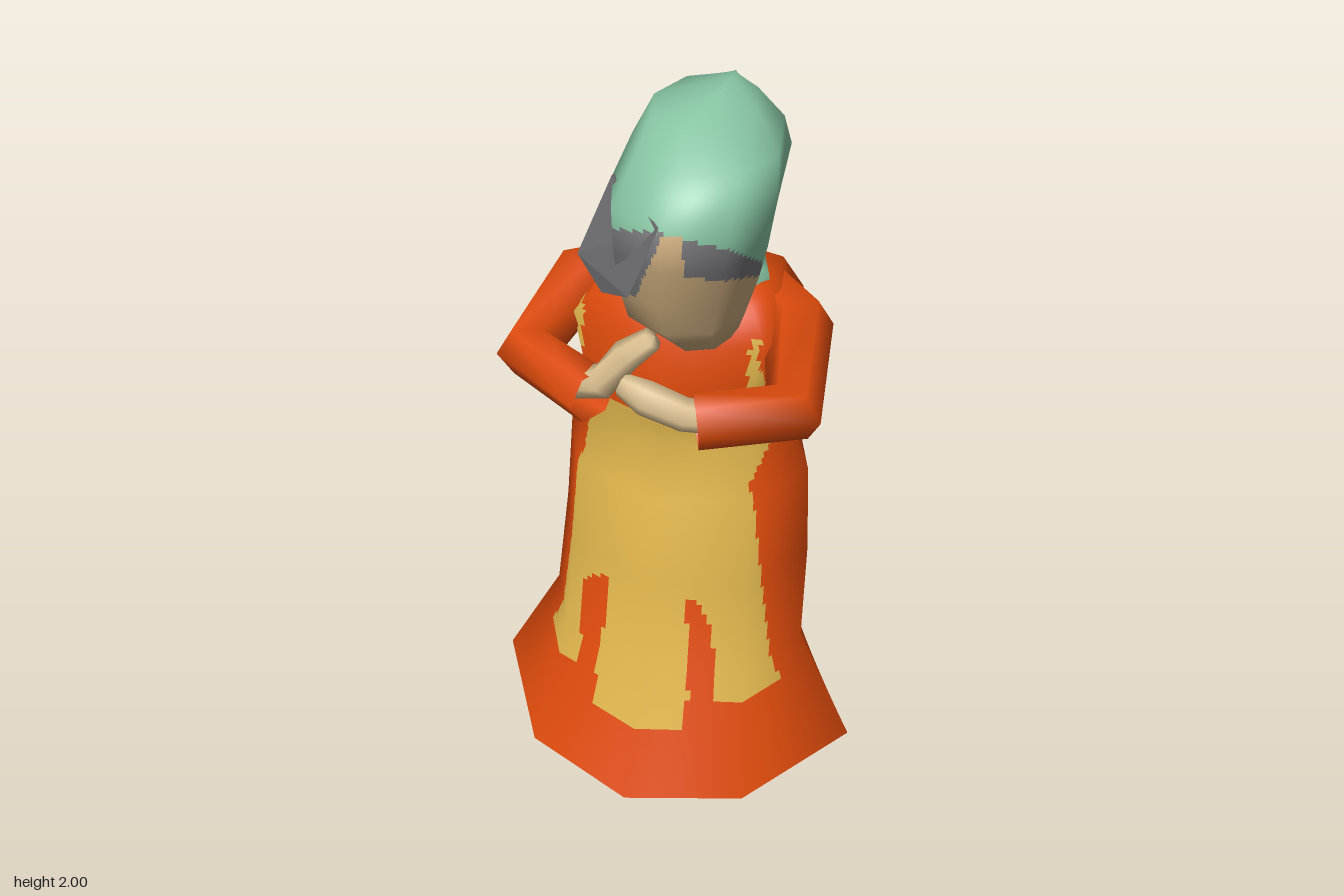
import * as THREE from 'three';
import { ConvexGeometry } from 'three/addons/geometries/ConvexGeometry.js';

const V = (x, y, z) => new THREE.Vector3(x, y, z);
const mat = (name, color) => {
  const m = new THREE.MeshStandardMaterial({ color, side: THREE.DoubleSide });
  m.name = name;
  return m;
};

// Skin over rings of points. Coarse smooth normals are interpolated over a fine
// grid so that each small cell can take its own colour from paint(x, y, z).
function loft(name, rings, mats, paint, step) {
  const n = rings[0].length, idx = [];
  for (let r = 0; r < rings.length - 1; r++) {
    for (let k = 0; k < n; k++) {
      const a = r * n + k, b = r * n + (k + 1) % n;
      idx.push(a, b, b + n, a, b + n, a + n);
    }
  }
  const coarse = new THREE.BufferGeometry().setFromPoints(rings.flat());
  coarse.setIndex(idx);
  coarse.computeVertexNormals();
  if (!paint) return named(new THREE.Mesh(coarse, mats[0]), name);

  const P = rings.flat(), na = coarse.attributes.normal;
  const N = P.map((_, i) => V().fromBufferAttribute(na, i));
  const pos = [], nor = [], lists = mats.map(() => []);
  const S = 18, cols = n * S;
  const mix = (A, r, t, c) => {
    const k = Math.floor(c / S) % n, k2 = (k + 1) % n, s = (c % S) / S;
    const lo = A[r * n + k].clone().lerp(A[r * n + k2], s);
    return lo.lerp(A[(r + 1) * n + k].clone().lerp(A[(r + 1) * n + k2], s), t);
  };
  let rows = 0;
  for (let r = 0; r < rings.length - 1; r++) {
    const m = Math.max(1, Math.ceil(rings[r][0].distanceTo(rings[r + 1][0]) / step));
    const last = r === rings.length - 2 ? 1 : 0;
    for (let j = 0; j < m + last; j++, rows++) {
      for (let c = 0; c < cols; c++) {
        pos.push(...mix(P, r, j / m, c).toArray());
        nor.push(...mix(N, r, j / m, c).normalize().toArray());
      }
    }
  }
  for (let r = 0; r < rows - 1; r++) {
    for (let c = 0; c < cols; c++) {
      const a = r * cols + c, b = r * cols + (c + 1) % cols, d = a + cols, e = b + cols;
      const mid = [0, 1, 2].map(i => (pos[a * 3 + i] + pos[b * 3 + i] + pos[d * 3 + i] + pos[e * 3 + i]) / 4);
      lists[paint(...mid)].push(a, b, e, a, e, d);
    }
  }
  const g = new THREE.BufferGeometry();
  g.setAttribute('position', new THREE.Float32BufferAttribute(pos, 3));
  g.setAttribute('normal', new THREE.Float32BufferAttribute(nor, 3));
  g.setIndex(lists.flat());
  let start = 0;
  lists.forEach((l, i) => { g.addGroup(start, l.length, i); start += l.length; });
  return named(new THREE.Mesh(g, mats), name);
}

function named(o, name) { o.name = name; return o; }

// Horizontal eight-point ring from its left, right, middle, front and back extents.
// sx and sz move the four diagonal corners, dip lifts the sides.
function ring([y, xL, xR, zC, zF, zB, sx = 1, sz = 1, dip = 0]) {
  return Array.from({ length: 8 }, (_, k) => {
    const a = k * Math.PI / 4, s = Math.sin(a), c = Math.cos(a), cx = (xL + xR) / 2, diag = k % 2;
    return V(cx + s * (xR - xL) / 2 * (diag ? sx : 1), y + dip * s * s,
      zC + c * (c > 0 ? zF - zC : zC - zB) * (diag ? sz : 1));
  });
}

// Limb along a path of [x, y, z, radius]
function limb(name, path, material, sides = 6) {
  const p = path.map(q => V(q[0], q[1], q[2]));
  const rings = p.map((q, i) => {
    const d = p[Math.min(i + 1, p.length - 1)].clone().sub(p[Math.max(i - 1, 0)]).normalize();
    const u = V(0, 1, 0).addScaledVector(d, -d.y).normalize();
    const v = d.clone().cross(u);
    return Array.from({ length: sides }, (_, k) => {
      const a = (k + 0.5) / sides * Math.PI * 2;
      return q.clone().addScaledVector(u, Math.cos(a) * path[i][3]).addScaledVector(v, Math.sin(a) * path[i][3]);
    });
  });
  return loft(name, rings, [material]);
}

// Collar, straps, waistband, bow and apron on the dress
function paintDress(x, y, z) {
  const ax = Math.abs(x);
  if (y > 1.46) return y > 1.495 && z < -0.05 && x < 0.12 ? 1 : 0;
  if (y > 1.225) return z > 0.02 && ax > 0.212 && ax < 0.236 && y < 1.44 ? 1 : 0;
  const top = z > 0 ? 1.165 + z * 0.4 : 1.165 - z * 0.04;
  if (y > top) return 0;
  if (y > (z > -0.05 ? 1.1 : 1.125 - Math.max(0, -0.2 - z) * 0.2)) return 1;
  if (z < -0.2) {
    const bx = Math.abs(x - 0.02);
    return (y > 1.07 && bx < 0.07) || (y > 0.97 && bx > 0.02 && bx < 0.052) ? 1 : 0;
  }
  const edge = y > 1.0 ? 0.07 - (y - 1.0) * 1.2 : 0.07 + (1.0 - y) * 0.05;
  if (z < edge || y < 0.3) return 0;
  if (y < 0.385) return x > -0.14 && x < 0.12 ? 1 : 0;
  const up = 0.68 - y;
  const leftSlit = x > Math.max(-0.205, -0.13 - up * 1.8) && x < -0.14 + (y - 0.4) * 0.05;
  const rightSlit = x > 0.125 - (y - 0.4) * 0.11 && x < Math.min(0.19 - (y - 0.4) * 0.12, 0.115 + up * 0.6);
  return up > 0 && (leftSlit || rightSlit) ? 0 : 1;
}

// Scarf 0, hair 1, face 2
function paintHead(x, y, z) {
  if (z < -0.18 && y < 1.66 && y > 1.59 && Math.abs(x - 0.06) < 0.07) return 1;
  const edge = y > 1.62 ? 0.03 + (y - 1.62) * 1.4 : 0.02;
  if (y > 1.83 || z < edge) return 0;
  const side = x > 0.115 && y > 1.6 + (z - 0.04) * 0.42;
  const front = y > 1.59 && x < 0.09 - (1.83 - y) * 0.45;
  return side || front ? 1 : 2;
}

export function createModel() {
  const group = new THREE.Group();
  const orange = mat('orange cloth', 0xdc4a0c), gold = mat('gold cloth', 0xdcb24b);
  const green = mat('green scarf', 0x86c3a1), grey = mat('grey hair', 0x757477);
  const skin = mat('face skin', 0xcaaa7c), hand = mat('hand skin', 0xd8bd8e), shoe = mat('brown shoe', 0x9c8966);

  // Dress, from hem to collar
  group.add(loft('dress', [
    [0.10, -0.52, 0.52, 0.02, 0.41, -0.38, 0.84, 1.1, 0.06],
    [0.46, -0.36, 0.36, 0, 0.26, -0.29],
    [0.72, -0.35, 0.345, -0.07, 0.21, -0.38],
    [0.96, -0.34, 0.325, -0.1, 0.16, -0.41],
    [1.09, -0.285, 0.28, -0.09, 0.09, -0.31],
    [1.20, -0.27, 0.27, -0.06, 0.16, -0.30],
    [1.42, -0.26, 0.27, -0.08, 0.13, -0.285, 1.3, 1.05],
    [1.50, -0.2, 0.22, -0.1, 0.06, -0.255, 1.25, 1.1],
    [1.535, -0.15, 0.17, -0.1, 0.02, -0.21],
  ].map(ring), [orange, gold], paintDress, 0.015));

  // Scarf ends tucked around the neck
  group.add(loft('neckScarf', [
    [1.46, -0.2, 0.21, -0.08, 0.08, -0.2],
    [1.525, -0.19, 0.2, -0.09, 0.06, -0.215, 1.1, 1.1],
    [1.555, -0.12, 0.15, -0.07, 0.05, -0.19],
    [1.56, 0.02, 0.02, -0.05, -0.05, -0.05],
  ].map(ring), [green]));

  // Head with its scarf, leaning to one side
  group.add(loft('head', [
    [1.435, 0.1, 0.1, 0.08, 0.08, 0.08],
    [1.44, 0, 0.17, 0.06, 0.17, -0.02],
    [1.5, -0.1, 0.19, 0.06, 0.21, -0.1],
    [1.6, -0.12, 0.22, 0.06, 0.25, -0.22],
    [1.7, -0.12, 0.245, 0.08, 0.28, -0.23],
    [1.82, -0.115, 0.267, 0.1, 0.305, -0.31],
    [1.9, -0.09, 0.25, 0.04, 0.2, -0.24],
    [1.965, -0.065, 0.175, -0.03, 0.12, -0.19],
    [2.0, 0.09, 0.09, -0.1, -0.04, -0.14],
  ].map(ring), [green, grey, skin], paintHead, 0.015));

  // Loose lock of hair beside the face
  group.add(named(new THREE.Mesh(new ConvexGeometry([
    V(-0.1, 1.84, 0.14), V(-0.11, 1.82, 0.08), V(0.075, 1.83, 0.308), V(-0.02, 1.61, 0.255),
    V(-0.21, 1.6, 0.1), V(-0.16, 1.61, 0.05), V(-0.13, 1.54, 0.15),
  ]), grey), 'hairLock'));

  // Folded arms: sleeves and hands
  group.add(limb('rightSleeve', [[-0.17, 1.42, -0.16, 0.08], [-0.29, 1.41, -0.08, 0.085],
    [-0.302, 1.37, 0.205, 0.075], [-0.09, 1.36, 0.305, 0.07]], orange));
  group.add(limb('leftSleeve', [[0.17, 1.42, -0.16, 0.08], [0.285, 1.41, -0.07, 0.085],
    [0.36, 1.365, 0.21, 0.075], [0.16, 1.35, 0.305, 0.065]], orange));
  group.add(limb('rightHand', [[-0.16, 1.36, 0.27, 0.04], [-0.07, 1.4, 0.295, 0.042],
    [-0.02, 1.47, 0.275, 0.038], [0.04, 1.52, 0.26, 0.028], [0.045, 1.525, 0.26, 0]], hand));
  group.add(limb('leftHand', [[0.22, 1.35, 0.27, 0.038], [0.13, 1.36, 0.3, 0.04],
    [0.04, 1.39, 0.31, 0.042], [-0.02, 1.41, 0.305, 0.028], [-0.025, 1.41, 0.305, 0]], hand));

  // Legs and shoes
  const profile = new THREE.Shape([[-0.09, 0.03], [0.12, 0.008], [0.23, 0], [0.235, 0.06], [0.14, 0.1], [0.03, 0.14], [-0.09, 0.14]]
    .map(p => new THREE.Vector2(...p)));
  for (const side of [-1, 1]) {
    const g = new THREE.ExtrudeGeometry(profile, { depth: 0.15, bevelEnabled: false });
    g.translate(0, 0, -0.075).rotateY(-Math.PI / 2);
    const p = g.attributes.position;
    for (let i = 0; i < p.count; i++) {
      const z = p.getZ(i);
      p.setX(i, p.getX(i) * (z < 0.05 ? 0.75 : z > 0.2 ? 0.85 : 1));
    }
    g.computeVertexNormals();
    const foot = named(new THREE.Mesh(g, shoe), side < 0 ? 'rightShoe' : 'leftShoe');
    foot.position.x = side * 0.162;
    const leg = named(new THREE.Mesh(new THREE.CylinderGeometry(0.055, 0.048, 0.5, 6), hand), side < 0 ? 'rightLeg' : 'leftLeg');
    leg.position.set(side * 0.16, 0.36, -0.035);
    group.add(foot, leg);
  }
  return group;
}
